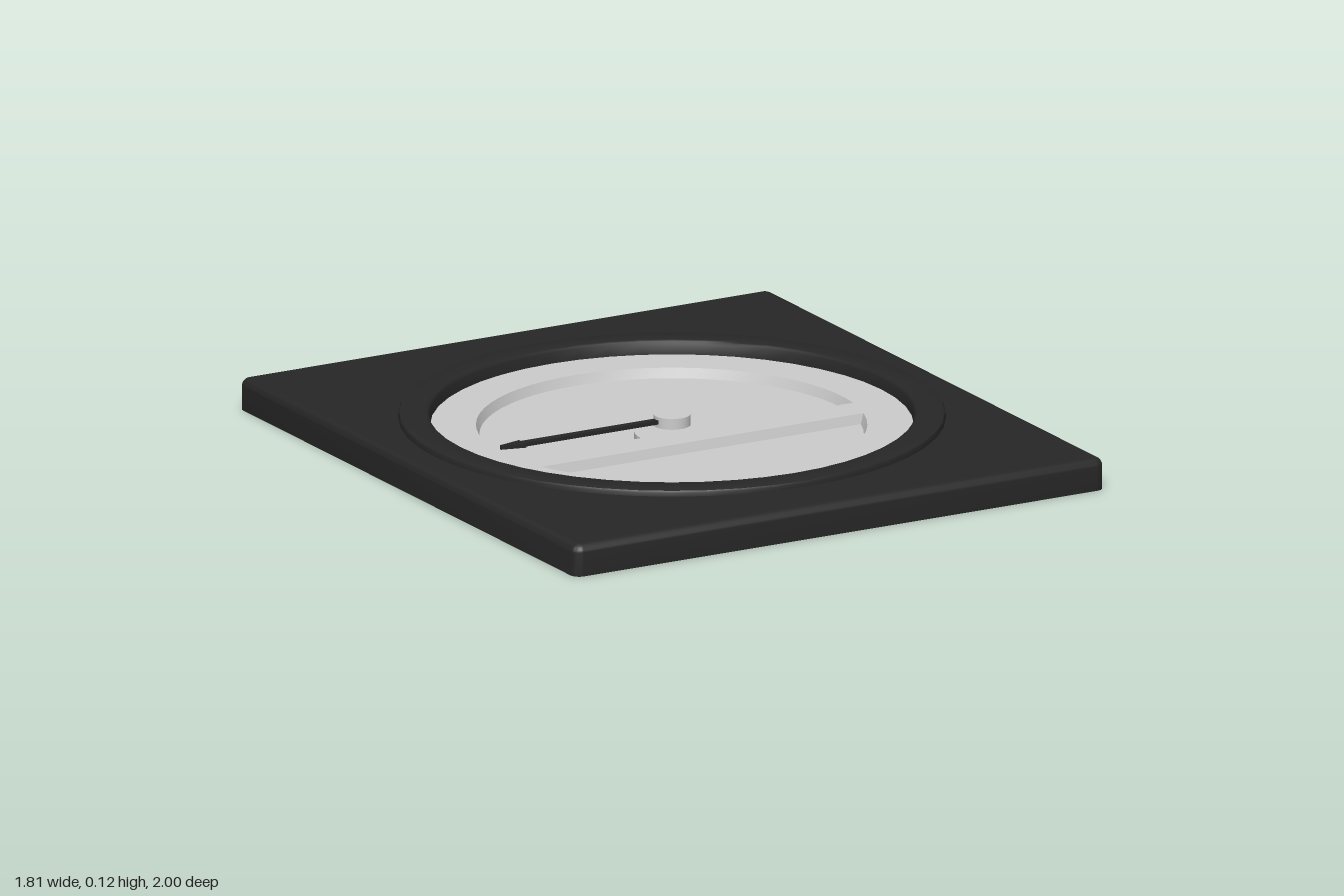
import * as THREE from 'three';
import { toCreasedNormals } from 'three/addons/utils/BufferGeometryUtils.js';

const black = new THREE.MeshStandardMaterial({ color: 0x272727 });
const grey = new THREE.MeshStandardMaterial({ color: 0xcccccc });
const greyWall = new THREE.MeshStandardMaterial({ color: 0xcccccc, side: THREE.DoubleSide });

// Plan outlines are counter-clockwise lists of Vector2 (x, -z)
function arc(cx, cy, r, from, to, steps) {
  return Array.from({ length: steps + 1 }, (_, i) => {
    const a = from + (to - from) * i / steps;
    return new THREE.Vector2(cx + r * Math.cos(a), cy + r * Math.sin(a));
  });
}

function roundedRect(hx, hy, r) {
  const signs = [[1, 1], [-1, 1], [-1, -1], [1, -1]];
  return signs.flatMap(([sx, sy], i) =>
    arc(sx * (hx - r), sy * (hy - r), r, i * Math.PI / 2, (i + 1) * Math.PI / 2, 6));
}

// Large window of the dial, notched by the hub boss
function upperWindow(r) {
  const base = -0.075, a = Math.asin(base / r);
  return [...arc(0, 0, r, a, Math.PI - a, 36), ...arc(0, base, 0.15, Math.PI, 0, 18)];
}

// Lower window: a circle segment below a straight edge
function lowerWindow(r, edge) {
  const a = Math.asin(edge / r);
  return arc(0, 0, r, -Math.PI - a, a, 24);
}

// Skin between equal-length closed outlines at given heights
function band(loops) {
  const n = loops[0].points.length, pos = [], index = [];
  for (const { points, y } of loops) for (const p of points) pos.push(p.x, y, -p.y);
  for (let k = 0; k < loops.length - 1; k++) {
    for (let i = 0; i < n; i++) {
      const a = k * n + i, b = k * n + (i + 1) % n;
      index.push(a, b, b + n, a, b + n, a + n);
    }
  }
  const geo = new THREE.BufferGeometry();
  geo.setAttribute('position', new THREE.Float32BufferAttribute(pos, 3));
  geo.setIndex(index);
  return toCreasedNormals(geo, 0.7);
}

// Flat face with holes, facing up
function face(points, holes, y) {
  const shape = new THREE.Shape(points);
  shape.holes = holes.map(h => new THREE.Path(h));
  return new THREE.ShapeGeometry(shape).rotateX(-Math.PI / 2).translate(0, y, 0);
}

export function createModel() {
  const model = new THREE.Group();
  const add = (name, geo, mat, parent = model) => {
    const mesh = new THREE.Mesh(geo, mat);
    mesh.name = name;
    parent.add(mesh);
    return mesh;
  };
  const W = 0.905, D = 1, H = 0.097, R = 0.03, round = 0.024;
  const dialY = 0.075, floorY = 0.045, dialR = 0.715;
  const circle = r => arc(0, 0, r, 0, Math.PI * 2 * 47 / 48, 47);

  // Housing: upright sides, rounded top edge
  const housing = new THREE.Group();
  housing.name = 'housing';
  model.add(housing);
  const sides = [{ points: roundedRect(W, D, R), y: 0 }];
  for (let i = 0; i <= 5; i++) {
    const a = i / 5 * Math.PI / 2, inset = round * (1 - Math.cos(a));
    sides.push({ points: roundedRect(W - inset, D - inset, R - inset), y: H - round + round * Math.sin(a) });
  }
  add('housingSides', band(sides), black, housing);
  add('housingTop', face(roundedRect(W - round, D - round, R - round), [circle(0.8)], H), black, housing);
  add('backPlate', face(roundedRect(W, D, R), [], 0).rotateX(Math.PI), grey, housing);

  // Raised bezel ring with softened rims
  const profile = [[0.81, 0.09], [0.81, 0.108], [0.807, 0.114], [0.8, 0.117], [0.73, 0.117],
    [0.722, 0.114], [0.718, 0.107], [dialR, dialY - 0.005]];
  const bezel = band(profile.map(([r, y]) => ({ points: circle(r), y })));
  add('bezel', bezel, black);

  // Dial plate with two sunken windows
  const dial = new THREE.Group();
  dial.name = 'dial';
  model.add(dial);
  const windows = [
    [upperWindow(0.58), upperWindow(0.57)],
    [lowerWindow(0.578, -0.182), lowerWindow(0.568, -0.19)],
  ];
  add('dialFace', face(circle(0.718), windows.map(w => w[0]), dialY), grey, dial);
  add('dialFloor', face(circle(0.6), [], floorY), grey, dial);
  for (const [top, bottom] of windows) {
    add('windowWall', band([{ points: top, y: dialY }, { points: bottom, y: floorY }]), greyWall, dial);
  }

  // Needle pointing to the model's right, with an arrow tip
  const outline = [[-0.03, 0.012], [-0.51, 0.012], [-0.51, 0.022], [-0.585, 0.004],
    [-0.585, -0.004], [-0.51, -0.022], [-0.51, -0.012], [-0.03, -0.012]];
  const needle = new THREE.ExtrudeGeometry(
    new THREE.Shape(outline.map(p => new THREE.Vector2(...p))), { depth: 0.012, bevelEnabled: false });
  add('needle', needle.rotateX(-Math.PI / 2).translate(0, 0.086, 0), black);

  // Hub cap
  add('hubCap', new THREE.CylinderGeometry(0.055, 0.055, 0.034, 32).translate(0, 0.091, 0), grey);

  return model;
}
